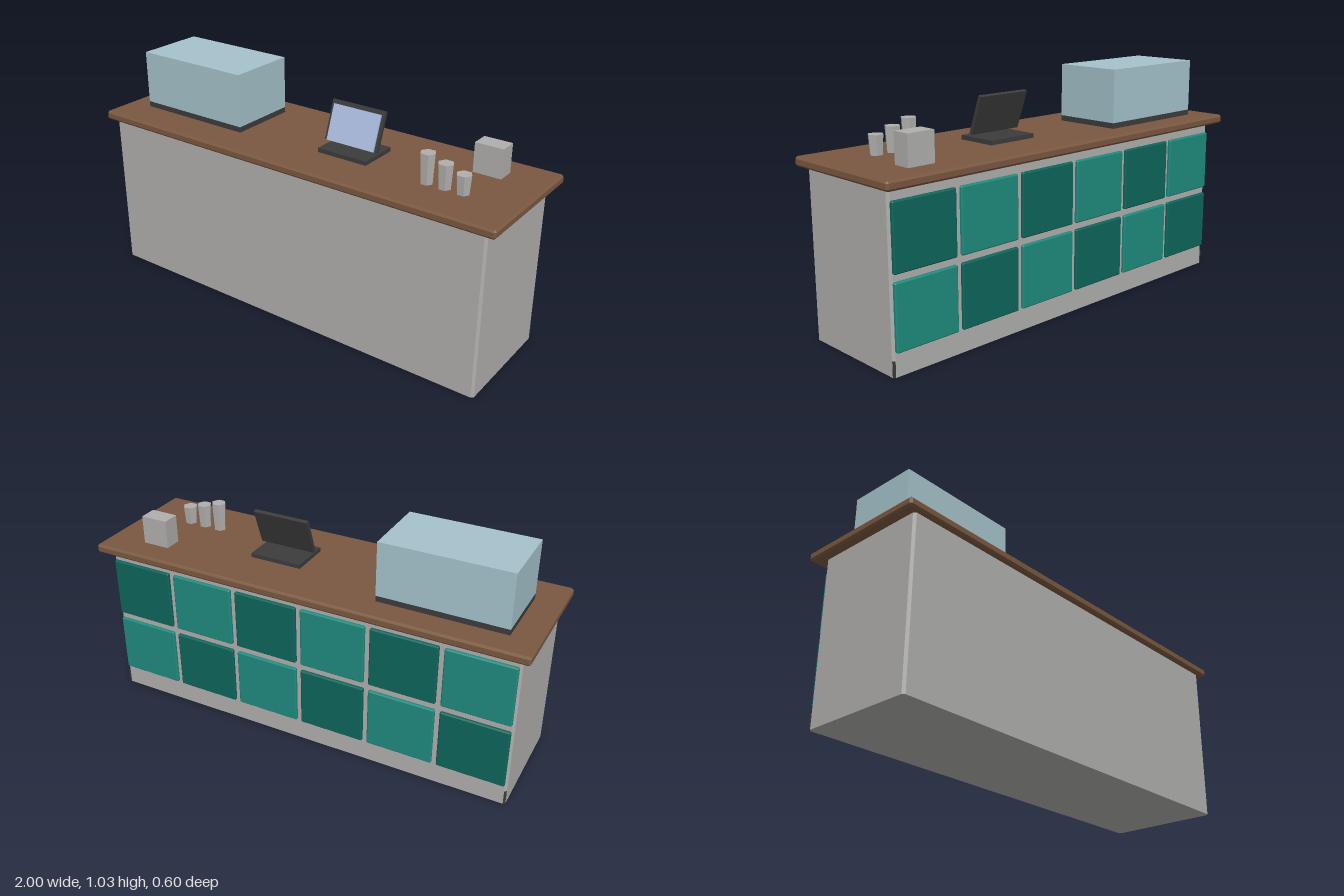
import * as THREE from 'three';
import { ConvexGeometry } from 'three/addons/geometries/ConvexGeometry.js';

const material = (name, color) => {
  const m = new THREE.MeshStandardMaterial({ color });
  m.name = name;
  return m;
};

// Box with chamfered edges; with uprightOnly, just the four vertical edges are cut
function chamferBox(w, h, d, c, uprightOnly = false) {
  const points = [];
  const x = w / 2, y = h / 2, z = d / 2;
  for (const sx of [-1, 1]) for (const sy of [-1, 1]) for (const sz of [-1, 1]) {
    const add = (px, py, pz) => points.push(new THREE.Vector3(sx * px, sy * py, sz * pz));
    const yIn = uprightOnly ? y : y - c;
    add(x, yIn, z - c);
    add(x - c, yIn, z);
    if (!uprightOnly) add(x - c, y, z - c);
  }
  return new ConvexGeometry(points);
}

export function createModel() {
  const stone = material('grey', 0xb0afad);
  const wood = material('brown wood', 0x7a5840);
  const charcoal = material('charcoal', 0x3c3c3c);
  const glass = material('pale glass blue', 0xa5c2cb);
  const screenBlue = material('screen blue', 0xa9bbdd);
  const tealLight = material('light teal', 0x1f8a7d);
  const tealDark = material('dark teal', 0x0d655b);

  const model = new THREE.Group();
  model.name = 'serviceCounter';
  const add = (name, geometry, mat, x, y, z, parent = model) => {
    const mesh = new THREE.Mesh(geometry, mat);
    mesh.name = name;
    mesh.position.set(x, y, z);
    parent.add(mesh);
    return mesh;
  };
  const box = (w, h, d) => new THREE.BoxGeometry(w, h, d);

  // Cabinet, kick board showing at the rear corners, and worktop
  add('cabinet', chamferBox(1.916, 0.725, 0.517, 0.01, true), stone, 0, 0.3625, 0.0175);
  add('kickBoard', box(1.915, 0.064, 0.498), charcoal, 0, 0.033, 0.0085);
  add('worktop', chamferBox(2, 0.04, 0.6, 0.009), wood, 0, 0.742, 0);

  // Chequered door panels on the back
  const panels = new THREE.Group();
  panels.name = 'backPanels';
  model.add(panels);
  const panelShape = chamferBox(0.297, 0.273, 0.026, 0.005);
  for (let row = 0; row < 2; row++) {
    for (let col = 0; col < 6; col++) {
      const mat = (row + col) % 2 ? tealLight : tealDark;
      add('doorPanel', panelShape, mat, 0.8 - col * 0.32, 0.537 - row * 0.303, -0.242, panels);
    }
  }

  // Display case
  add('caseBase', box(0.56, 0.026, 0.318), charcoal, -0.602, 0.774, -0.024);
  add('displayCase', box(0.56, 0.239, 0.318), glass, -0.602, 0.9065, -0.024);

  // Till with a tilted screen
  add('tillBase', box(0.24, 0.02, 0.187), charcoal, 0.2, 0.771, 0.011);
  const screen = new THREE.Group();
  screen.name = 'tillScreen';
  screen.position.set(0.2, 0.877, 0.004);
  screen.rotation.x = -THREE.MathUtils.degToRad(20);
  model.add(screen);
  add('screenFrame', box(0.26, 0.174, 0.017), charcoal, 0, 0, 0, screen);
  add('screenPanel', box(0.234, 0.156, 0.007), screenBlue, 0, -0.009, 0.012, screen);

  // Row of tapered six-sided cups
  [0.13, 0.106, 0.082].forEach((height, i) => {
    const cup = new THREE.CylinderGeometry(0.033, 0.027, height, 6).toNonIndexed();
    cup.rotateY(Math.PI / 6);
    cup.computeVertexNormals();
    add('cup', cup, stone, 0.6 + i * 0.08, 0.762 + height / 2, 0.097);
  });

  // Small box beside the cups
  add('counterBox', box(0.125, 0.13, 0.08), stone, 0.757, 0.825, -0.143);

  return model;
}
